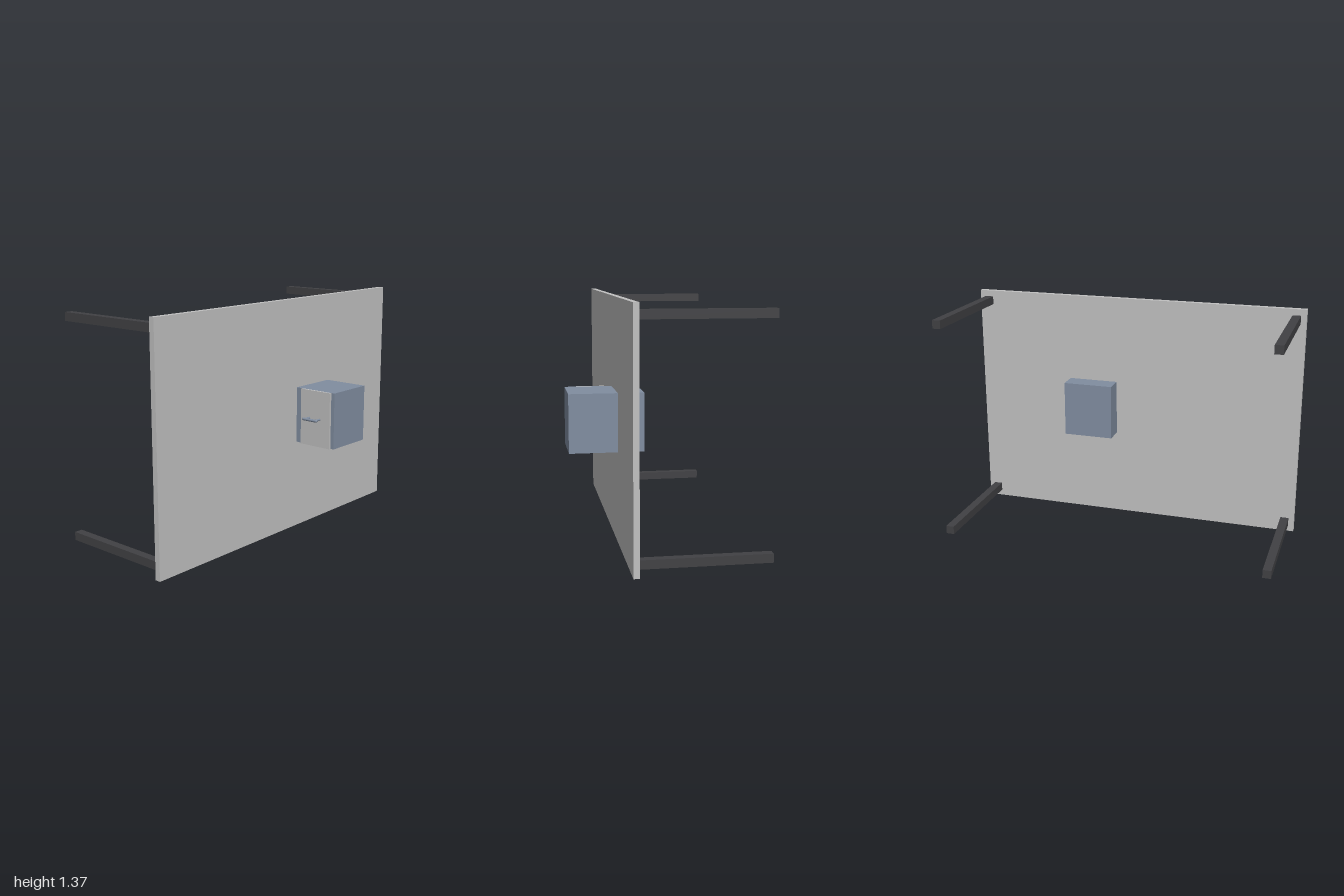
import * as THREE from 'three';

const material = (name, color) => {
  const m = new THREE.MeshStandardMaterial({ color });
  m.name = name;
  return m;
};

export function createModel() {
  const model = new THREE.Group();
  model.name = 'tippedTable';
  const lightGrey = material('light grey', 0xc0c0c0);
  const charcoal = material('charcoal', 0x414144);
  const slate = material('slate blue', 0x808da0);

  const add = (name, geometry, mat, x, y, z) => {
    const mesh = new THREE.Mesh(geometry, mat);
    mesh.name = name;
    mesh.position.set(x, y, z);
    model.add(mesh);
    return mesh;
  };
  // Box given by its limits on each axis
  const block = (name, mat, [x0, x1], [y0, y1], [z0, z1]) =>
    add(name, new THREE.BoxGeometry(x1 - x0, y1 - y0, z1 - z0), mat,
      (x0 + x1) / 2, (y0 + y1) / 2, (z0 + z1) / 2);

  // Upright table top
  block('tableTop', lightGrey, [-1, 1], [0, 1.368], [0.198, 0.23]);

  // Four legs pointing backwards
  for (const x of [-0.943, 0.943]) {
    for (const y of [0.06, 1.308]) {
      block('leg', charcoal, [x - 0.024, x + 0.024], [y - 0.024, y + 0.024], [-0.5, 0.198]);
    }
  }

  // Cabinet passing through the top, with a thin door on its right side
  block('cabinet', slate, [0.121, 0.418], [0.522, 0.85], [0.084, 0.5]);
  block('cabinetDoor', lightGrey, [0.107, 0.121], [0.522, 0.85], [0.272, 0.478]);

  // Door handle: rounded grip on two posts
  const grip = add('handleGrip', new THREE.CapsuleGeometry(0.008, 0.09, 6, 16), slate, 0.063, 0.686, 0.371);
  grip.rotation.x = Math.PI / 2;
  for (const z of [0.334, 0.408]) {
    const post = add('handlePost', new THREE.CylinderGeometry(0.006, 0.006, 0.046, 16), slate, 0.085, 0.686, z);
    post.rotation.z = Math.PI / 2;
  }
  return model;
}
